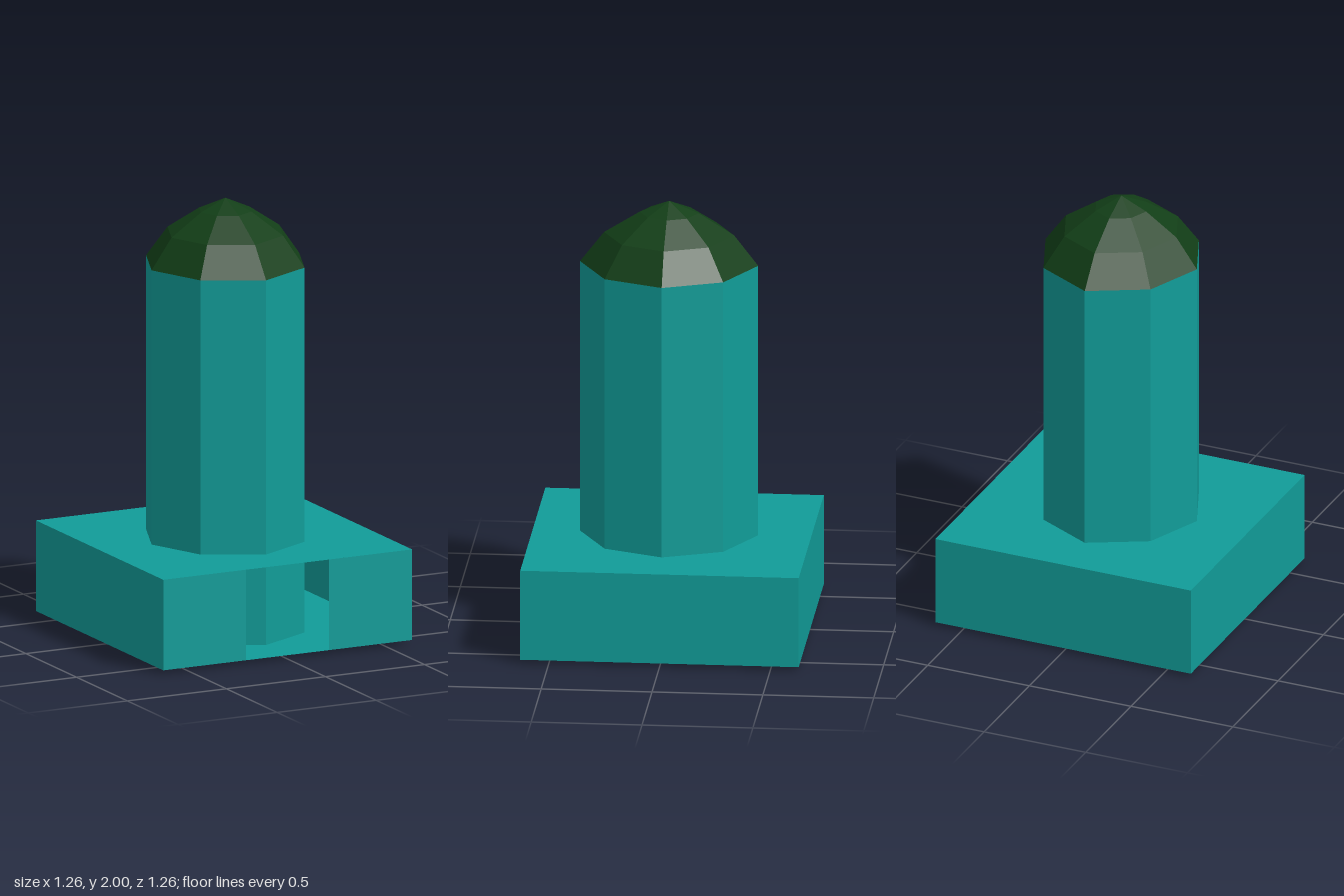
import * as THREE from 'three';

const teal = new THREE.MeshStandardMaterial({ color: 0x119c98, flatShading: true, side: THREE.DoubleSide });
const green = new THREE.MeshStandardMaterial({ color: 0x123e17, flatShading: true, side: THREE.DoubleSide });

// Eight-sided turned part, slightly longer in z, with the diagonal corners pulled in
function octagonal(name, profile, material) {
  const geometry = new THREE.LatheGeometry(profile.map(([r, y]) => new THREE.Vector2(r, y)), 8);
  const p = geometry.attributes.position;
  for (let i = 0; i < p.count; i++) {
    const x = p.getX(i), z = p.getZ(i);
    const diagonal = Math.abs(x) > 1e-4 && Math.abs(z) > 1e-4;
    p.setX(i, x * 0.372);
    p.setZ(i, z * (diagonal ? 0.378 : 0.402) + 0.013);
  }
  geometry.computeVertexNormals();
  const mesh = new THREE.Mesh(geometry, material);
  mesh.name = name;
  return mesh;
}

export function createModel() {
  const model = new THREE.Group();
  model.name = 'tower';

  // Hollow base: thin walls, with an open doorway in the front
  const base = new THREE.Group();
  base.name = 'base';
  const size = 1.256, half = size / 2, low = 0.018, high = 0.437;
  const height = high - low, mid = (high + low) / 2;
  const panel = (name, w, h, position, rx = 0, ry = 0) => {
    const mesh = new THREE.Mesh(new THREE.PlaneGeometry(w, h), teal);
    mesh.name = name;
    mesh.position.set(...position);
    mesh.rotation.set(rx, ry, 0);
    base.add(mesh);
  };
  panel('baseTop', size, size, [0, high, 0], -Math.PI / 2);
  panel('baseFloor', size, size, [0, low, 0], Math.PI / 2);
  panel('backWall', size, height, [0, mid, -half], 0, Math.PI);
  for (const [side, s] of [['left', 1], ['right', -1]]) {
    panel(side + 'Wall', size, height, [s * half, mid, 0], 0, s * Math.PI / 2);
    panel(side + 'FrontPanel', size / 3, height, [s * size / 3, mid, half]);
  }
  model.add(base);

  // Column runs down through the base; the dome closes its top
  model.add(octagonal('column', [[0, 0], [1, 0], [1, 1.705]], teal));
  model.add(octagonal('dome', [[1, 1.705], [0.73, 1.845], [0.33, 1.945], [0, 2]], green));

  return model;
}
